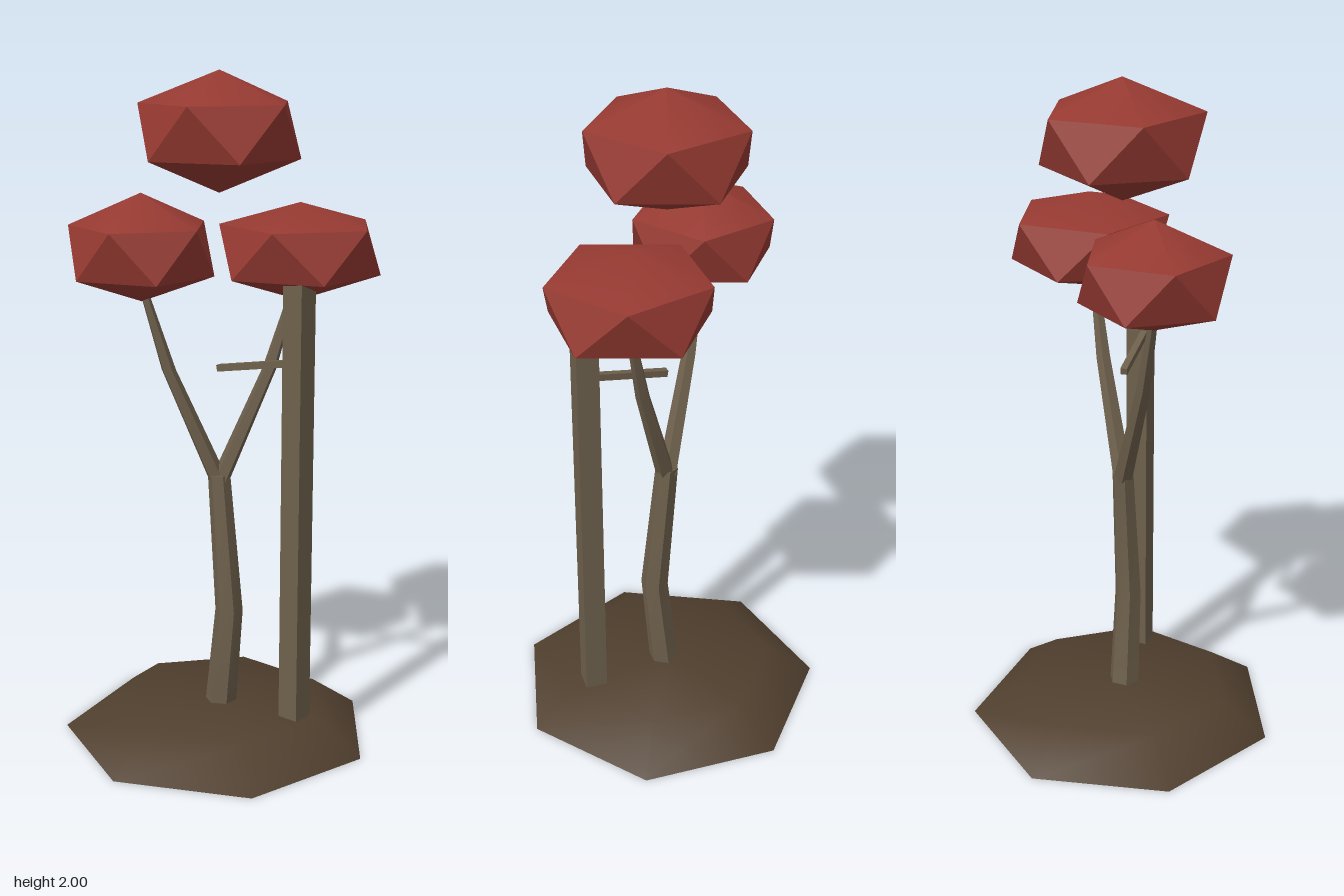
import * as THREE from 'three';
import { toCreasedNormals } from 'three/addons/utils/BufferGeometryUtils.js';

const CREASE = 0.7;
const v = (x, y, z) => new THREE.Vector3(x, y, z);

// Tapered limb: a cylinder whose rings follow a list of [x, y, z, radius]
function limbGeometry(stations, sides) {
  const n = stations.length - 1;
  const geo = new THREE.CylinderGeometry(1, 1, n, sides, n);
  const pos = geo.attributes.position;
  for (let i = 0; i < pos.count; i++) {
    const [x, y, z, r] = stations[Math.round(pos.getY(i) + n / 2)];
    pos.setXYZ(i, x + pos.getX(i) * r, y, z + pos.getZ(i) * r);
  }
  return toCreasedNormals(geo, CREASE);
}

// Leaf clump: a pole-up icosahedron with two staggered five-point rings
function clumpGeometry({ ring, top, bottom, upper, lower }) {
  const points = [0, top, 0, 0, bottom, 0];
  for (let i = 0; i < 5; i++) {
    const a = (i * 2 * Math.PI) / 5;
    const b = a + Math.PI / 5;
    points.push(ring * Math.cos(a), upper, ring * Math.sin(a));
    points.push(ring * Math.cos(b), lower, ring * Math.sin(b));
  }
  const index = [];
  for (let i = 0; i < 5; i++) {
    const u = 2 + i * 2, l = u + 1;
    const u2 = 2 + ((i + 1) % 5) * 2, l2 = u2 + 1;
    index.push(0, u2, u, u, u2, l, l, u2, l2, 1, l, l2);
  }
  const geo = new THREE.BufferGeometry();
  geo.setAttribute('position', new THREE.Float32BufferAttribute(points, 3));
  geo.setIndex(index);
  return toCreasedNormals(geo, CREASE);
}

export function createModel() {
  const model = new THREE.Group();
  model.name = 'treeWithPost';

  const soil = new THREE.MeshStandardMaterial({ color: 0x503f2e });
  soil.name = 'soil';
  const bark = new THREE.MeshStandardMaterial({ color: 0x6e604c });
  bark.name = 'bark';
  const leaf = new THREE.MeshStandardMaterial({ color: 0x963a32 });
  leaf.name = 'redLeaf';

  const add = (name, geometry, material, x = 0, y = 0, z = 0) => {
    const mesh = new THREE.Mesh(geometry, material);
    mesh.name = name;
    mesh.position.set(x, y, z);
    model.add(mesh);
    return mesh;
  };

  const cz = 0.024; // trunk axis

  // Seven-sided mound
  const mound = new THREE.CylinderGeometry(0.33, 0.474, 0.1, 7);
  add('mound', toCreasedNormals(mound, CREASE), soil, 0, 0.05, cz);

  // Bent trunk and its two opposite branches
  add('trunk', limbGeometry([
    [0.007, 0.08, cz, 0.048], [0.04, 0.4, cz, 0.042], [0, 0.82, cz, 0.034],
  ], 6), bark);
  for (const s of [-1, 1]) {
    add(s < 0 ? 'rightBranch' : 'leftBranch', limbGeometry([
      [s * 0.003, 0.8, cz, 0.03],
      [s * 0.105, 1.14, cz - s * 0.105, 0.022],
      [s * 0.16, 1.4, cz - s * 0.16, 0.012],
    ], 5), bark);
  }

  // Square post with a thin stick reaching towards the tree
  add('post', new THREE.BoxGeometry(0.066, 1.36, 0.066), bark, 0.257, 0.76, -0.022);
  const from = v(0, 1.145, 0.027), to = v(0.24, 1.187, 0);
  const stick = add('stick', new THREE.BoxGeometry(0.02, 0.02, from.distanceTo(to)), bark);
  stick.position.copy(from).lerp(to, 0.5);
  stick.lookAt(to);

  // Leaf clumps
  add('topLeaves', clumpGeometry({
    ring: 0.233, top: 0.172, bottom: -0.172, upper: 0.08, lower: -0.075,
  }), leaf, 0, 1.828, cz);
  add('rightLeaves', clumpGeometry({
    ring: 0.211, top: 0.158, bottom: -0.155, upper: 0.065, lower: -0.08,
  }), leaf, -0.16, 1.5, 0.182);
  add('leftLeaves', clumpGeometry({
    ring: 0.235, top: 0.14, bottom: -0.145, upper: 0.075, lower: -0.07,
  }), leaf, 0.162, 1.487, -0.147);

  return model;
}
